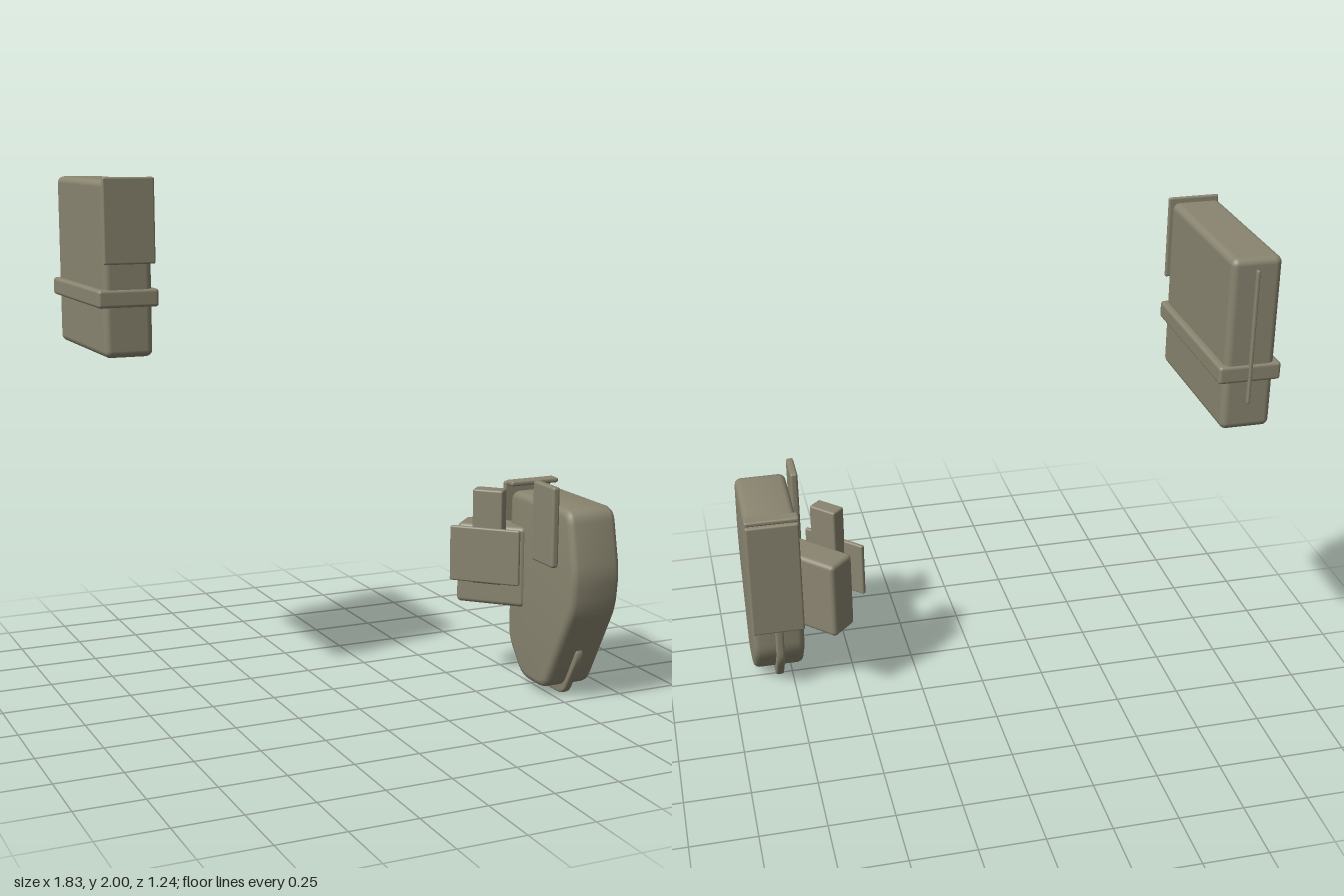
import * as THREE from 'three';
import { toCreasedNormals } from 'three/addons/utils/BufferGeometryUtils.js';
import { RoundedBoxGeometry } from 'three/addons/geometries/RoundedBoxGeometry.js';

const khaki = new THREE.MeshStandardMaterial({ color: 0x8a8570 });
khaki.name = 'khaki';

function addMesh(parent, name, geometry) {
  const mesh = new THREE.Mesh(geometry, khaki);
  mesh.name = name;
  parent.add(mesh);
  return mesh;
}

// Rounded box given by its [min, max] range on each axis
function addBox(parent, name, [x0, x1], [y0, y1], [z0, z1], radius) {
  const mesh = addMesh(parent, name, new RoundedBoxGeometry(x1 - x0, y1 - y0, z1 - z0, 3, radius));
  mesh.position.set((x0 + x1) / 2, (y0 + y1) / 2, (z0 + z1) / 2);
  return mesh;
}

// Closed outline of [z, y] corners, each cut back by r and rounded
function roundedShape(corners, r) {
  const pts = corners.map(([z, y]) => new THREE.Vector2(z, y));
  const shape = new THREE.Shape();
  pts.forEach((p, i) => {
    const prev = pts[(i + pts.length - 1) % pts.length];
    const next = pts[(i + 1) % pts.length];
    const toward = (q) => p.clone().add(q.clone().sub(p).setLength(Math.min(r, p.distanceTo(q) * 0.45)));
    const a = toward(prev), b = toward(next);
    if (i === 0) shape.moveTo(a.x, a.y);
    else shape.lineTo(a.x, a.y);
    shape.quadraticCurveTo(p.x, p.y, b.x, b.y);
  });
  shape.closePath();
  return shape;
}

// Side outline extruded across x with softened edges
function addProfile(parent, name, corners, r, [x0, x1], bevel) {
  const geometry = new THREE.ExtrudeGeometry(roundedShape(corners, r), {
    depth: x1 - x0 - 2 * bevel, bevelEnabled: true, bevelThickness: bevel,
    bevelSize: bevel, bevelOffset: -bevel, bevelSegments: 3, curveSegments: 5,
  });
  geometry.rotateY(-Math.PI / 2);
  geometry.translate(x1 - bevel, 0, 0);
  return addMesh(parent, name, toCreasedNormals(geometry, 0.6));
}

function createPouch() {
  const pouch = new THREE.Group();
  pouch.name = 'pouch';
  addBox(pouch, 'pouchBody', [-0.892, -0.712], [1.36, 1.99], [-0.603, 0.018], 0.025);
  addBox(pouch, 'pouchStrap', [-0.915, -0.69], [1.54, 1.605], [-0.61, 0.025], 0.012);
  addBox(pouch, 'pouchFlap', [-0.896, -0.706], [1.695, 2.0], [0.028, 0.043], 0.007);
  addBox(pouch, 'pouchRearSeam', [-0.808, -0.796], [1.46, 1.95], [-0.617, -0.595], 0.005);
  return pouch;
}

function createHolster() {
  const holster = new THREE.Group();
  holster.name = 'holster';
  addProfile(holster, 'holsterBody', [
    [0.135, 0.772], [0.135, 0.17], [0.245, 0.035], [0.42, 0.035],
    [0.605, 0.385], [0.622, 0.53], [0.572, 0.772],
  ], 0.05, [0.702, 0.908], 0.025);
  // Welt following the lower and rear edge
  addProfile(holster, 'holsterWelt', [
    [0.107, 0.64], [0.107, 0.15], [0.225, 0.003], [0.42, 0.003],
    [0.515, 0.165], [0.515, 0.21], [0.4, 0.3], [0.2, 0.64],
  ], 0.04, [0.788, 0.82], 0.008);
  addBox(holster, 'backPlate', [0.705, 0.912], [0.31, 0.795], [0.075, 0.096], 0.008);
  addBox(holster, 'topLip', [0.7, 0.912], [0.785, 0.805], [0.104, 0.156], 0.008);
  addBox(holster, 'sideTab', [0.668, 0.698], [0.545, 0.855], [0.367, 0.517], 0.01);

  // Small case turned 45 degrees beside the holster
  const parts = [
    ['caseBody', 0.65, 0.118, 0.278, 0.13, 0.32, 0.64, 0.018],
    ['caseSpacer', 0.583, 0.187, 0.12, 0.065, 0.42, 0.795, 0.008],
    ['casePlate', 0.555, 0.205, 0.28, 0.018, 0.425, 0.645, 0.007],
  ];
  const sideCase = new THREE.Group();
  sideCase.name = 'sideCase';
  for (const [name, x, z, length, depth, y0, y1, r] of parts) {
    const mesh = addBox(sideCase, name, [-length / 2, length / 2], [y0, y1], [-depth / 2, depth / 2], r);
    mesh.position.x = x;
    mesh.position.z = z;
    mesh.rotation.y = -Math.PI / 4;
  }
  holster.add(sideCase);
  return holster;
}

export function createModel() {
  const model = new THREE.Group();
  model.name = 'pouchAndHolster';
  model.add(createPouch(), createHolster());
  return model;
}
